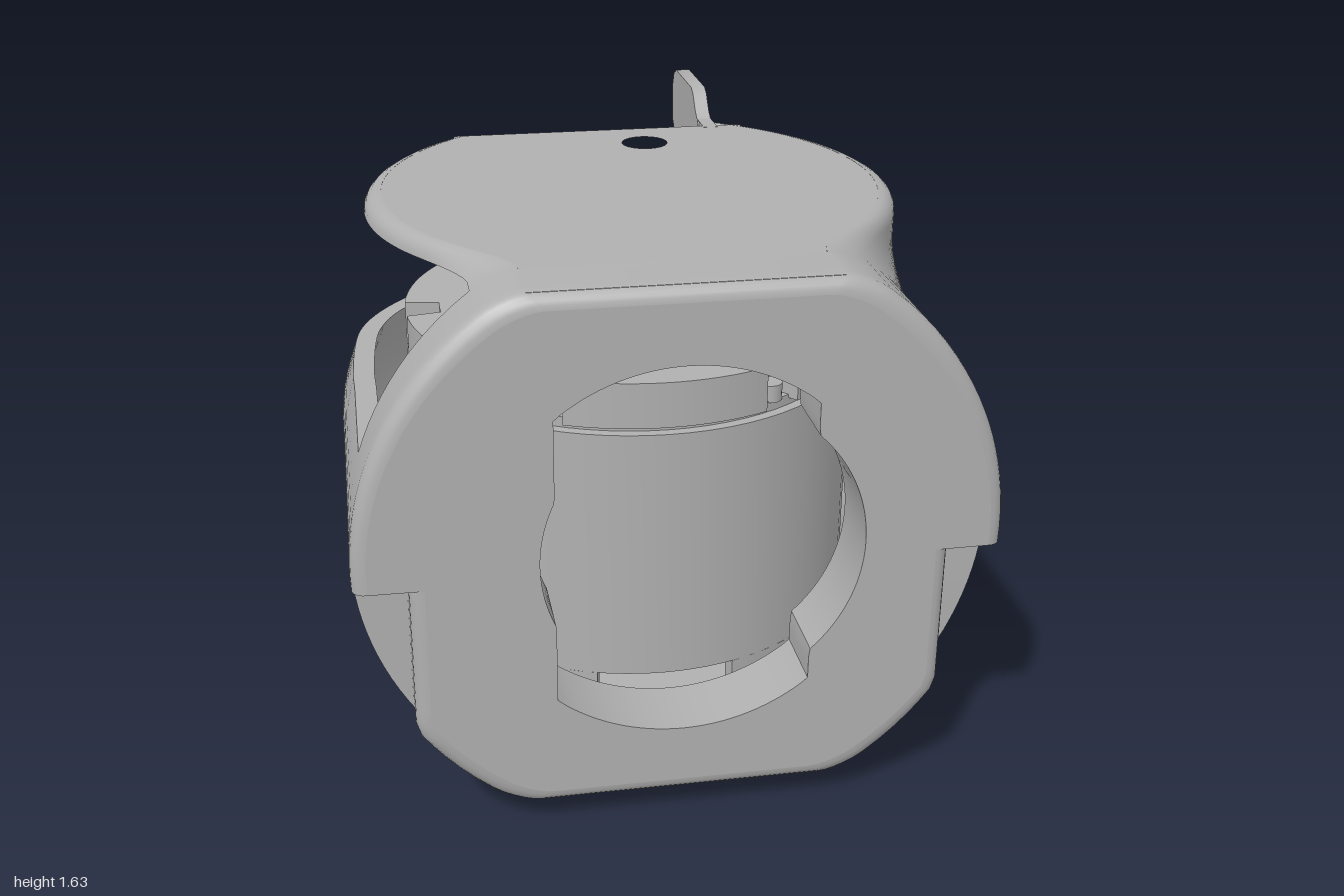
import * as THREE from 'three';
import { toCreasedNormals } from 'three/addons/utils/BufferGeometryUtils.js';

const BOTTOM = 0.08, TOP = 1.55, MID = 0.815, SHEET = 0.05; // shell heights
const AXIS_Z = 0.1;                                         // vertical motor axis
const RIM = 1.08, BACK = -0.49, FRONT = 0.8;                // cut-out limits

// Half width of the shell: upright drum blended with a lying drum at the front
function halfWidth(y, z) {
  const dz = z - AXIS_Z;
  const upright = Math.sqrt(Math.max(0, 0.76 ** 2 - dz * dz));
  const taper = z < 0 ? Math.sqrt(Math.max(0, 1 - (z / 0.62) ** 2)) : 1;
  const dy = (y - MID) * (1 + Math.max(0, 0.3 - z));
  const lying = Math.sqrt(Math.max(0, (0.86 * taper) ** 2 - dy * dy));
  const h = Math.max(0, 0.12 - Math.abs(upright - lying));
  const w = Math.max(upright, lying) + (h * h) / 0.48;
  return z > 0.86 && y < 0.77 ? Math.min(w, 0.715) : w;     // side notches
}

// Height levels, each with the inset of the rounded rim
function levels() {
  const list = [], steps = 5;
  for (let i = 0; i < steps; i++) {
    const a = (i / steps) * Math.PI / 2;
    list.push([BOTTOM + SHEET * (1 - Math.sin(a)), SHEET * (1 - Math.cos(a))]);
  }
  list.reverse();
  for (let i = 1; i < 36; i++) {
    const y = BOTTOM + SHEET + (i / 36) * (TOP - BOTTOM - 2 * SHEET);
    list.push([y, 0]);
  }
  list.push([0.7695, 0], [0.7705, 0], [RIM, 0]);
  const lower = list.slice(0, steps).map(([y, s]) => [TOP + BOTTOM - y, s]);
  list.unshift([BOTTOM, SHEET]);
  lower.unshift([TOP, SHEET]);
  return list.concat(lower).sort((a, b) => a[0] - b[0]);
}
const LEVELS = levels();

function outerProfile(z, inset = 0, y0 = 0, y1 = 2) {
  return LEVELS.filter(([y]) => y >= y0 - 1e-6 && y <= y1 + 1e-6).map(([y, s]) =>
    [halfWidth(y, z) - s - inset, MID + (y - MID) * (1 - inset / 0.735), z]);
}

// Closed section of a side wall with its thickness
function wallRing(z, y0, y1) {
  const t = 0.06 + 0.1 * Math.max(0, -0.2 - z);
  const outer = outerProfile(z, 0, y0, y1);
  const inner = outer.map(([, y]) => {
    const yc = Math.min(Math.max(y, BOTTOM + SHEET), TOP - SHEET);
    return [Math.max(0.34, halfWidth(yc, z) - t), yc, z];
  }).reverse();
  return outer.concat(inner);
}

const mirrorRing = ring => ring.map(([x, y, z]) => [-x, y, z]).reverse();
const fullRing = (z, inset) => {
  const p = outerProfile(z, inset);
  return p.concat(mirrorRing(p));
};

// Skin over closed counter-clockwise rings that advance along +z
function loft(rings, caps) {
  const n = rings[0].length, index = [];
  for (let i = 0; i < rings.length - 1; i++) {
    for (let j = 0; j < n; j++) {
      const k = (j + 1) % n, a = i * n + j, b = i * n + k;
      index.push(a, b, b + n, a, b + n, a + n);
    }
  }
  if (caps) {
    const contour = rings[0].map(p => new THREE.Vector2(p[0], p[1]));
    const last = (rings.length - 1) * n;
    for (const [a, b, c] of THREE.ShapeUtils.triangulateShape(contour, [])) index.push(a, c, b);
    const end = rings[rings.length - 1].map(p => new THREE.Vector2(p[0], p[1]));
    for (const [a, b, c] of THREE.ShapeUtils.triangulateShape(end, [])) index.push(last + a, last + b, last + c);
  }
  const g = new THREE.BufferGeometry();
  g.setAttribute('position', new THREE.Float32BufferAttribute(rings.flat(2), 3));
  g.setIndex(index);
  return toCreasedNormals(g, 0.7);
}

const range = (a, b, n) => Array.from({ length: n + 1 }, (_, i) => a + ((b - a) * i) / n);
const shapeOf = pts => new THREE.Shape(pts.map(p => new THREE.Vector2(p[0], p[1])));
const circle = (x, y, r) => new THREE.Path().absarc(x, y, r, 0, Math.PI * 2, true);

function extrude(shape, depth) {
  const g = new THREE.ExtrudeGeometry(shape, { depth, bevelEnabled: false, curveSegments: 48 });
  return toCreasedNormals(g, 0.5);
}
// Plan shape (x, -z) raised from y0 to y1
const raise = (shape, y0, y1) => extrude(shape, y1 - y0).rotateX(-Math.PI / 2).translate(0, y0, 0);

export function createModel() {
  const group = new THREE.Group();
  const grey = new THREE.MeshStandardMaterial({ color: 0xb0b0b0 });
  grey.name = 'grey';
  const add = (name, geometry, parent = group) => {
    const mesh = new THREE.Mesh(geometry, grey);
    mesh.name = name;
    parent.add(mesh);
    return mesh;
  };

  // Side walls: one full height, the other cut low with only a roof rim above
  const zs = range(-0.555, FRONT, 44), roofZs = range(BACK, FRONT, 40);
  add('fullSideWall', loft(zs.map(z => wallRing(z, 0, 2)), true));
  add('lowSideWall', loft(zs.map(z => mirrorRing(wallRing(z, 0, RIM))), true));
  add('roofRim', loft(roofZs.map(z => mirrorRing(wallRing(z, TOP - SHEET, 2))), true));

  // Roof and floor sheets with round holes
  const sheet = holes => {
    const side = range(BACK, 0.97, 48).map(z => [halfWidth(TOP, z) - SHEET, -z]);
    const start = [[halfWidth(TOP, BACK) - 0.02, -BACK]];
    const half = start.concat(side.slice(1));
    const s = shapeOf(half.concat(half.map(([x, y]) => [-x, y]).reverse()));
    for (const [x, z, r] of holes) s.holes.push(circle(x, -z, r));
    return s;
  };
  add('roof', raise(sheet([[0.12, -0.32, 0.07]]), TOP - SHEET, TOP - 0.0005));
  const q = 0.31;
  const floorHoles = [[q, q], [-q, q], [q, -q], [-q, -q]].map(([x, z]) => [x, AXIS_Z + z, 0.07]);
  add('floor', raise(sheet(floorHoles), BOTTOM + 0.0005, BOTTOM + SHEET));

  // Front flange: rounded skin around a thick plate with a shaped window
  const rings = [FRONT, 0.83, 0.86, 0.8602, 0.9, 0.93].map(z => fullRing(z, 0));
  for (const a of range(0, Math.PI / 2, 5)) {
    rings.push(fullRing(0.96 + 0.04 * Math.sin(a), 0.04 * (1 - Math.cos(a))));
  }
  add('flangeSkin', loft(rings, false));
  const windowPath = () => new THREE.Path(range(0, Math.PI * 2, 144).slice(0, -1).map(t => {
    const c = Math.cos(t), s = Math.sin(t);
    const tall = Math.min(0.53, 0.34 / Math.max(1e-6, Math.abs(c)));
    const round = 0.05 * c + Math.sqrt(0.43 ** 2 - (0.05 * s) ** 2);
    const r = Math.max(tall, round);
    return new THREE.Vector2(r * c, MID + r * s);
  }));
  const plate = (name, ring, z0, z1) => {
    const s = shapeOf(ring);
    s.holes.push(windowPath());
    add(name, extrude(s, z1 - z0).translate(0, 0, z0));
  };
  plate('flangeBackPlate', fullRing(FRONT, 0.001), FRONT, 0.86);
  plate('flangeFrontPlate', rings[rings.length - 1], 0.86, 1);

  // Rear fins: one full height with two wings, one with the lower wing only
  const lowerWing = [[-0.47, BOTTOM], [-0.58, BOTTOM], [-0.61, 0.06], [-0.65, 0.015], [-0.68, 0],
    [-0.94, 0], [-0.98, 0.02], [-1, 0.06], [-1, 0.18], [-0.69, 0.48], [-0.68, 0.51]];
  const upperWing = lowerWing.map(([z, y]) => [z, 1.63 - y]).reverse();
  const fin = (name, pts, x) => {
    const s = shapeOf(pts.map(([z, y]) => [-z, y]));
    add(name, extrude(s, 0.045).rotateY(Math.PI / 2).translate(x - 0.0225, 0, 0));
  };
  fin('fullFin', lowerWing.concat(upperWing), 0.3625);
  fin('lowFin', lowerWing.concat([[-0.68, RIM - 0.03], [-0.65, RIM + 0.02], [-0.47, RIM + 0.02]]), -0.3625);

  // Side tab with a rounded outer corner
  const tab = new THREE.Shape();
  tab.moveTo(0.36, 0.45).lineTo(0.53, 0.45).lineTo(0.53, 0.62);
  tab.quadraticCurveTo(0.53, 0.68, 0.47, 0.68).lineTo(0.36, 0.68);
  add('sideTab', raise(tab, 0.77, 0.95));

  // Motor
  const motor = new THREE.Group();
  motor.name = 'motor';
  motor.position.z = AXIS_Z;
  group.add(motor);
  const R = 0.66;
  const body = [[0, 0.31], [R, 0.31], [R, 1.05], [0.63, 1.05], [0.63, 1.08], [0, 1.08]]
    .map(p => new THREE.Vector2(p[0], p[1]));
  add('motorBody', toCreasedNormals(new THREE.LatheGeometry(body, 72), 0.5), motor);

  // Cap disc with six bolt pockets in its edge and a sunken centre
  const cap = shapeOf(range(0, Math.PI * 2, 360).slice(0, -1).map(t => {
    const off = ((t + Math.PI / 6) % (Math.PI / 3)) - Math.PI / 6;
    const r = Math.abs(off) < 0.075 ? 0.56 : R;
    return [r * Math.cos(t), r * Math.sin(t)];
  }));
  cap.holes.push(circle(0, 0, 0.41));
  add('motorCap', raise(cap, 1.07, 1.2), motor);
  add('motorCapCentre', new THREE.CylinderGeometry(0.415, 0.415, 0.1, 64).translate(0, 1.12, 0), motor);
  for (let i = 0; i < 6; i++) {
    const a = (i * Math.PI) / 3;
    const bolt = add('capBolt', new THREE.CylinderGeometry(0.035, 0.035, 0.05, 20), motor);
    bolt.position.set(0.605 * Math.cos(a), 1.1, 0.605 * Math.sin(a));
  }

  // Motor skirt: base ring and two arcs that leave a slot front and back
  const base = new THREE.Shape().absarc(0, 0, R, 0, Math.PI * 2, false);
  base.holes.push(circle(0, 0, 0.57));
  add('motorBase', raise(base, 0.12, 0.16), motor);
  for (const mid of [0, Math.PI]) {
    const h = Math.PI / 2 - 0.3;
    const arc = new THREE.Shape();
    arc.absarc(0, 0, R, mid - h, mid + h, false);
    arc.absarc(0, 0, 0.62, mid + h, mid - h, true);
    add('motorSkirt', raise(arc, 0.16, 0.31), motor);
  }
  return group;
}
